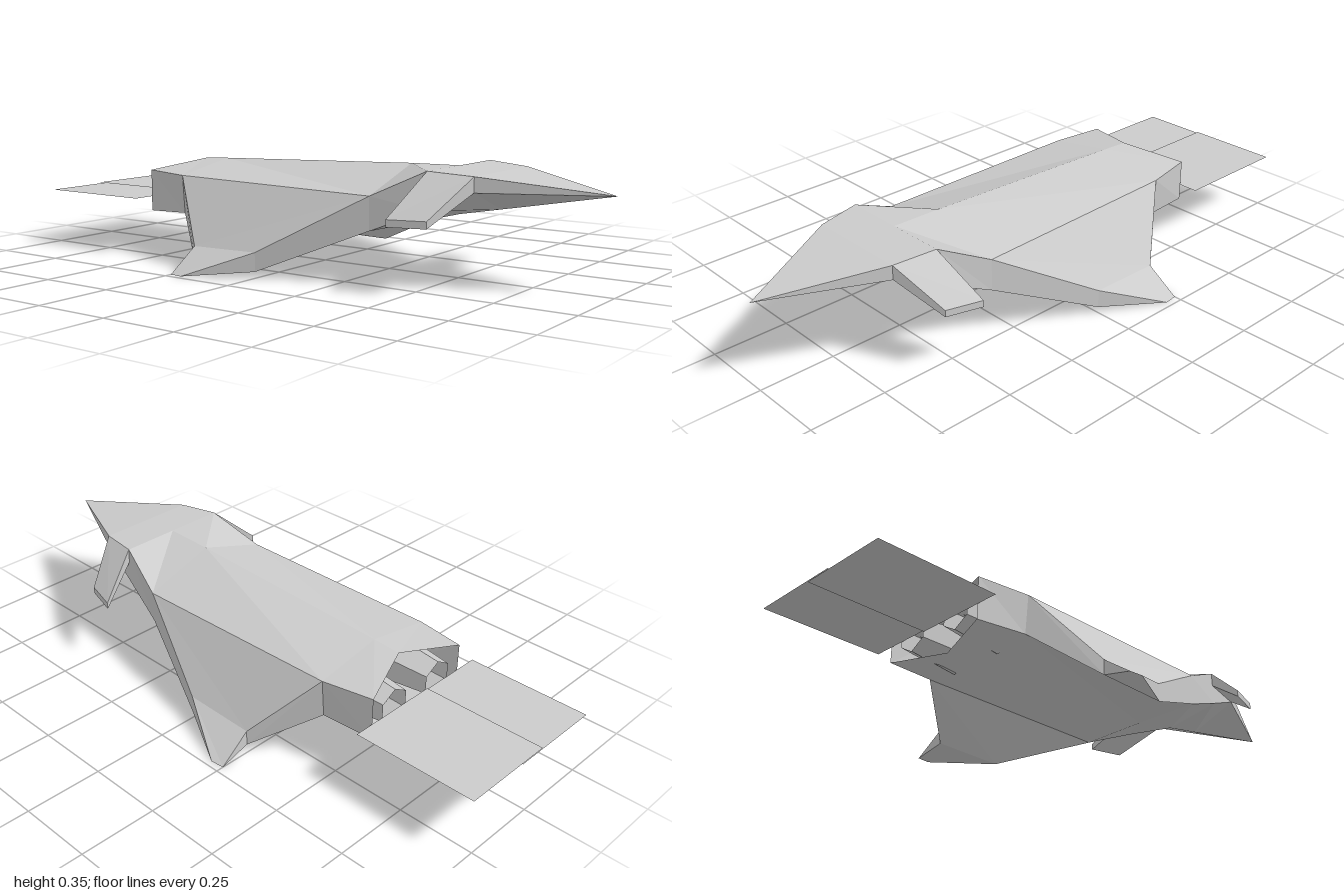
import * as THREE from 'three';

const material = new THREE.MeshStandardMaterial({
  color: 0xcccccc, flatShading: true, side: THREE.DoubleSide,
});

// Skin closed rings of points into a faceted surface; flip reverses the winding.
function loft(name, rings, { flip = false, cap = false } = {}) {
  const pos = [];
  const tri = (a, b, c) => pos.push(...a, ...(flip ? c : b), ...(flip ? b : c));
  const n = rings[0].length;
  for (let r = 0; r < rings.length - 1; r++) {
    const A = rings[r], B = rings[r + 1];
    for (let i = 0; i < n; i++) {
      const j = (i + 1) % n;
      tri(A[i], B[i], B[j]);
      tri(A[i], B[j], A[j]);
    }
  }
  if (cap) {
    const E = rings[rings.length - 1];
    for (let i = 1; i < n - 1; i++) tri(E[0], E[i], E[i + 1]);
  }
  const geo = new THREE.BufferGeometry();
  geo.setAttribute('position', new THREE.Float32BufferAttribute(pos, 3));
  geo.computeVertexNormals();
  const mesh = new THREE.Mesh(geo, material);
  mesh.name = name;
  return mesh;
}

const mirrorX = ([x, y, z]) => [-x, y, z];

// Full hull ring from roof centre, upper edge, lower edge and keel.
const hullRing = ([roof, upper, lower, keel]) =>
  [roof, upper, lower, keel, mirrorX(lower), mirrorX(upper)];

export function createModel() {
  const model = new THREE.Group();
  model.name = 'spacecraft';

  // Hull: pointed nose, widest ahead of the wings, open notched stern
  const nose = [0, 0.29, 1];
  const hull = [
    [nose, nose, nose, nose],
    [[0, 0.337, 0.64], [0.17, 0.337, 0.64], [0.17, 0.29, 0.64], [0, 0.223, 0.64]],
    [[0, 0.346, 0.5], [0.195, 0.346, 0.5], [0.2, 0.23, 0.5], [0, 0.197, 0.5]],
    [[0, 0.343, 0.33], [0.24, 0.265, 0.33], [0.24, 0.16, 0.33], [0, 0.163, 0.33]],
    [[0, 0.315, -0.42], [0.23, 0.275, -0.42], [0.22, 0.148, -0.42], [0, 0.115, -0.42]],
    [[0, 0.31, -0.515], [0.2, 0.28, -0.59], [0.2, 0.14, -0.59], [0, 0.125, -0.53]],
  ].map(hullRing);
  model.add(loft('hull', hull, { flip: true }));

  // Bulkhead closing the engine bay
  const bay = hull[4];
  model.add(loft('engineBulkhead', [bay, bay.map(() => [0, 0.21, -0.42])], { flip: true }));

  // Rings run front top, rear top, rear bottom, front bottom
  const wing = [
    [[0.24, 0.265, 0.33], [0.23, 0.275, -0.42], [0.22, 0.148, -0.42], [0.24, 0.16, 0.33]],
    [[0.37, 0.08, 0], [0.37, 0.075, -0.245], [0.37, 0.025, -0.245], [0.37, 0.02, 0]],
    [[0.48, 0, -0.205], [0.475, 0, -0.25], [0.475, 0, -0.25], [0.48, 0, -0.205]],
  ];
  const canard = [
    [[0.17, 0.337, 0.64], [0.195, 0.346, 0.5], [0.195, 0.3, 0.5], [0.17, 0.29, 0.64]],
    [[0.305, 0.218, 0.565], [0.338, 0.218, 0.45], [0.338, 0.196, 0.45], [0.305, 0.196, 0.565]],
  ];

  for (const s of [1, -1]) {
    const side = s > 0 ? 'left' : 'right';
    const place = (rings) => (s > 0 ? rings : rings.map((r) => r.map(mirrorX)));
    model.add(loft(side + 'Wing', place(wing), { flip: s < 0 }));
    model.add(loft(side + 'Canard', place(canard), { flip: s < 0, cap: true }));

    // Engine: six-sided nozzle with a pointed core
    const engine = new THREE.Group();
    engine.name = side + 'Engine';
    engine.position.set(s * 0.1, 0.205, 0);
    const nozzle = new THREE.Mesh(
      new THREE.CylinderGeometry(0.08, 0.06, 0.17, 6, 1, true).rotateX(Math.PI / 2), material);
    nozzle.name = 'nozzle';
    nozzle.position.z = -0.503;
    const core = new THREE.Mesh(
      new THREE.ConeGeometry(0.035, 0.14, 6).rotateX(-Math.PI / 2), material);
    core.name = 'nozzleCore';
    core.position.z = -0.49;
    engine.add(nozzle, core);
    model.add(engine);

    // Flat exhaust sheet, overlapping its twin at the middle
    const exhaust = new THREE.Mesh(
      new THREE.PlaneGeometry(0.32, 0.41).rotateX(-Math.PI / 2), material);
    exhaust.name = side + 'Exhaust';
    exhaust.position.set(s > 0 ? 0.107 : -0.118, s > 0 ? 0.193 : 0.189, -0.795);
    model.add(exhaust);
  }
  return model;
}
